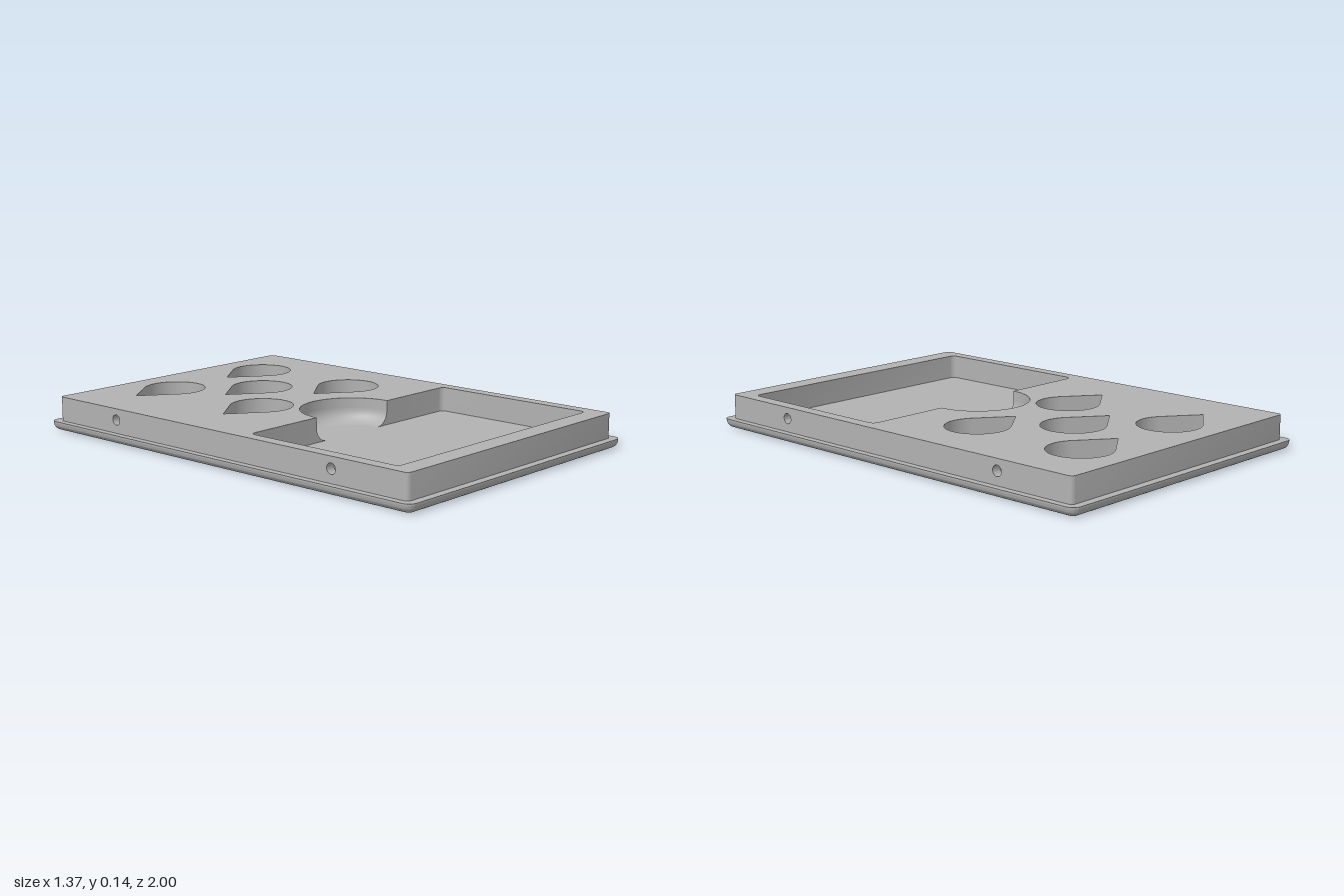
import * as THREE from 'three';
import { toCreasedNormals } from 'three/addons/utils/BufferGeometryUtils.js';

const FLOOR = 0.04, TOP = 0.145;

// Arc points around (cx, cy), from angle a0 to a1
function arc(cx, cy, r, a0, a1, n = 8) {
  return Array.from({ length: n + 1 }, (_, i) => {
    const a = a0 + (a1 - a0) * i / n;
    return new THREE.Vector2(cx + r * Math.cos(a), cy + r * Math.sin(a));
  });
}

// Counter-clockwise rounded rectangle with half sizes w, h
function roundedRect(w, h, r) {
  const q = Math.PI / 2;
  return [[-1, -1, 2], [1, -1, 3], [1, 1, 4], [-1, 1, 5]].flatMap(
    ([sx, sy, k]) => arc(sx * (w - r), sy * (h - r), r, k * q, (k + 1) * q));
}

// Skin stacked rings of equal point count; plan points (x, y) become (x, level, -y)
function loft(rings, levels, closed = true) {
  const n = rings[0].length, pos = [], index = [];
  rings.forEach((ring, k) => ring.forEach(p => pos.push(p.x, levels[k], -p.y)));
  for (let k = 0; k < rings.length - 1; k++) {
    for (let i = 0; i < (closed ? n : n - 1); i++) {
      const a = k * n + i, b = k * n + (i + 1) % n;
      index.push(a, b, b + n, a, b + n, a + n);
    }
  }
  const g = new THREE.BufferGeometry();
  g.setAttribute('position', new THREE.Float32BufferAttribute(pos, 3));
  g.setIndex(index);
  return toCreasedNormals(g, 0.5);
}

// Flat horizontal face with optional holes
function face(points, y, holes = []) {
  const s = new THREE.Shape(points);
  s.holes = holes.map(h => new THREE.Path(h));
  return new THREE.ShapeGeometry(s).rotateX(-Math.PI / 2).translate(0, y, 0);
}

export function createModel() {
  const model = new THREE.Group();
  model.name = 'tray';
  const grey = new THREE.MeshStandardMaterial({ color: 0xb2b2b2, side: THREE.DoubleSide });
  grey.name = 'grey';
  const add = (name, geometry, parent = model) => {
    const m = new THREE.Mesh(geometry, grey);
    m.name = name;
    parent.add(m);
    return m;
  };

  // Base plate with a rounded lower edge
  const steps = 8, rings = [], levels = [];
  for (let i = 0; i <= steps; i++) {
    const a = i / steps * Math.PI / 2, inset = 0.035 * (1 - Math.sin(a));
    rings.push(roundedRect(0.685 - inset, 1 - inset, 0.036 - inset));
    levels.push(0.036 * (1 - Math.cos(a)));
  }
  rings.push(rings[steps]);
  levels.push(FLOOR);
  add('baseRim', loft(rings, levels));
  add('baseTop', face(rings[steps], FLOOR));
  add('baseUnderside', face(rings[0].map(p => new THREE.Vector2(p.x, -p.y)), 0)
    .rotateX(Math.PI));

  // Card pocket outline with a semicircular thumb notch
  const w = 0.6, z0 = 0.13, z1 = 0.875, r = 0.025, q = Math.PI / 2, notchR = 0.22;
  const pocket = [
    ...arc(-w + r, -z1 + r, r, 2 * q, 3 * q),
    ...arc(w - r, -z1 + r, r, 3 * q, 4 * q),
    ...arc(w - r, -z0 - r, r, 0, q),
    ...arc(0, -z0, notchR, 0, Math.PI, 40),
    ...arc(-w + r, -z0 - r, r, q, 2 * q),
  ];

  // Teardrop recess outlines, each with its tip towards -x
  const dropR = 0.133, tip = 0.225, t = Math.acos(dropR / tip);
  const drops = [[-0.2, -0.735], [0.345, -0.735], [0.075, -0.468], [-0.2, -0.2], [0.345, -0.2]]
    .map(([x, z]) => [
      new THREE.Vector2(x - tip, -z),
      ...arc(x, -z, dropR, -Math.PI + t, Math.PI - t, 40),
    ]);

  // Raised block: top face, then recess walls
  const outline = roundedRect(0.655, 0.965, 0.02);
  add('blockTop', face(outline, TOP, [pocket, ...drops]));
  const wall = (pts, closed) => loft([pts, pts], [FLOOR, TOP], closed);
  add('pocketWall', wall([...pocket].reverse()));
  drops.forEach(d => add('teardropWall', wall([...d].reverse())));

  // Front and back walls, including the rounded corners
  add('frontWall', wall(outline.slice(0, 18), false));
  add('backWall', wall(outline.slice(18), false));

  // Side walls with two blind bores each
  const boreR = 0.022, boreY = 0.097, depth = 0.04;
  for (const side of [1, -1]) {
    const g = new THREE.Group();
    g.name = side > 0 ? 'leftSide' : 'rightSide';
    g.rotation.y = side * Math.PI / 2;
    const bores = [-0.6, 0.6].map(u => arc(u, boreY, boreR, 0, 2 * Math.PI, 24).slice(0, 24));
    const s = new THREE.Shape([[-0.945, FLOOR], [0.945, FLOOR], [0.945, TOP], [-0.945, TOP]]
      .map(p => new THREE.Vector2(...p)));
    s.holes = bores.map(b => new THREE.Path(b));
    add('sideWall', new THREE.ShapeGeometry(s), g).position.z = 0.655;
    bores.forEach(b => {
      const inner = [...b].reverse();
      add('boreWall', loft([inner, inner], [0.655 - depth, 0.655]).rotateX(Math.PI / 2), g);
      add('boreEnd', new THREE.ShapeGeometry(new THREE.Shape(b)), g).position.z = 0.655 - depth;
    });
    model.add(g);
  }

  // Scooped fillet round the foot of the thumb notch
  const f = 0.06;
  const profile = arc(notchR - f, FLOOR + f, f, -q, 0, 10);
  add('notchFillet', loft(
    profile.map(p => arc(0, -z0, p.x, Math.PI, 0, 40)), profile.map(p => p.y), false));
  // Fillet ends, flush with the pocket's back wall
  for (const side of [1, -1]) {
    const end = [...profile, new THREE.Vector2(notchR, FLOOR)]
      .map(p => new THREE.Vector2(side * p.x, p.y));
    add('filletEnd', new THREE.ShapeGeometry(new THREE.Shape(end))).position.z = z0;
  }
  return model;
}
